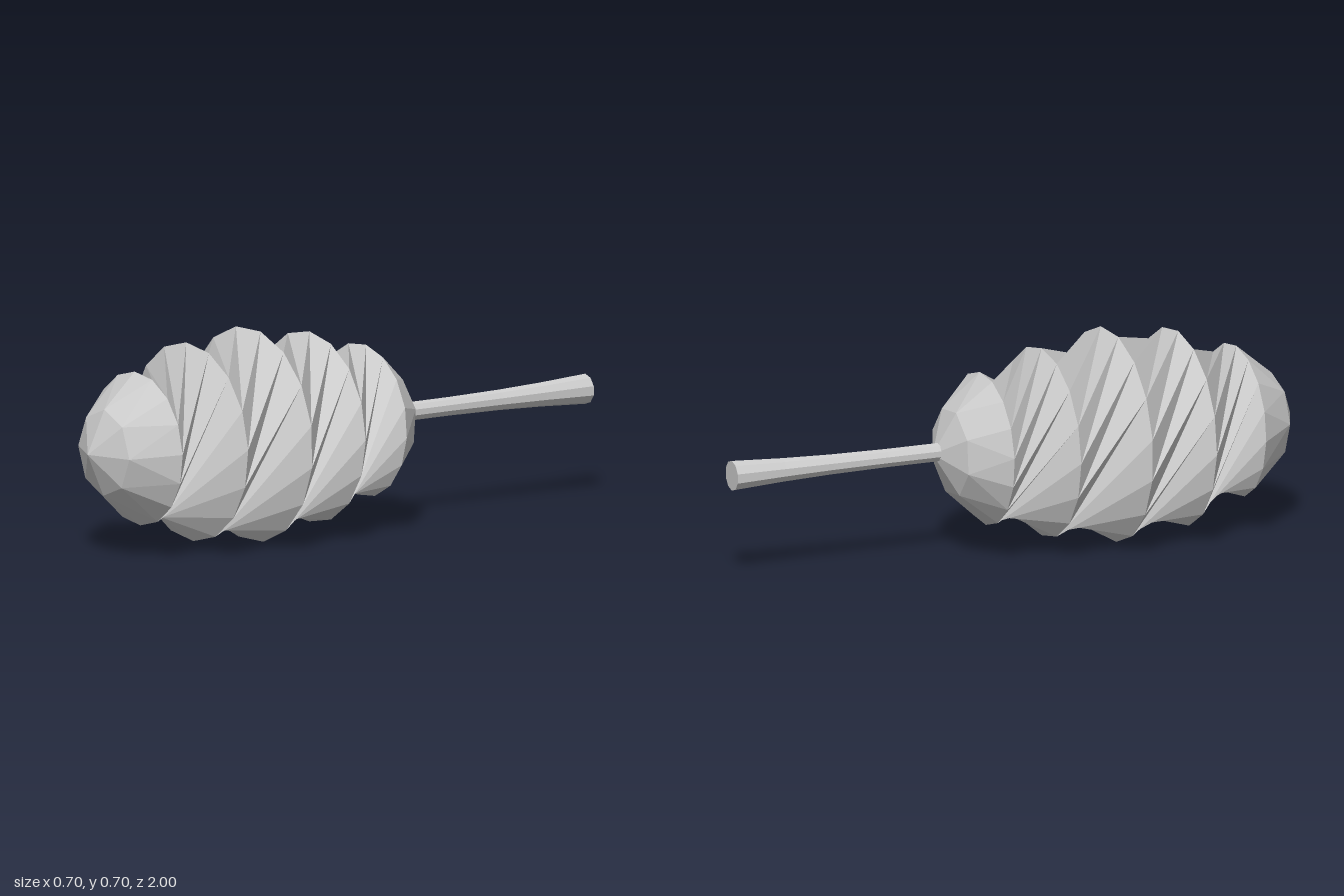
import * as THREE from 'three';

const SIDES = 16;
const CENTER_Y = 0.352;

// Ring of points around the z axis
function ring(n, radius, z, phase) {
  return Array.from({ length: n }, (_, i) => {
    const a = phase + (i / n) * Math.PI * 2;
    return [Math.cos(a) * radius, Math.sin(a) * radius, z];
  });
}

// Faceted dome: 16-sided rim, 8-sided inner ring, tip; back = true flips the faces
function addCap(out, rim, inner, tip, back) {
  const tri = (a, b, c) => out.push(...a, ...(back ? c : b), ...(back ? b : c));
  const n = inner.length;
  for (let j = 0; j < n; j++) {
    const p = inner[j], q = inner[(j + 1) % n];
    const before = rim[(2 * j + SIDES - 1) % SIDES];
    const mid = rim[2 * j];
    const after = rim[2 * j + 1];
    tri(tip, p, q);
    tri(p, before, mid);
    tri(p, mid, after);
    tri(p, after, q);
  }
}

// Twisted band between two rings, leaving ridges and deep valleys
function addBand(out, a, b) {
  for (let i = 0; i < SIDES; i++) {
    const k = (i + 1) % SIDES;
    out.push(...a[i], ...b[i], ...b[k]);
    out.push(...a[i], ...b[k], ...a[k]);
  }
}

export function createModel() {
  const group = new THREE.Group();
  const material = new THREE.MeshStandardMaterial({
    color: 0xcccccc, flatShading: true, side: THREE.DoubleSide,
  });

  // Dipper head: [z, radius, twist in degrees from the previous ring]
  const levels = [
    [0.8, 0.253, 3.5], [0.59, 0.327, 67.5], [0.35, 0.354, 54],
    [0.11, 0.315, 55], [-0.1, 0.253, 62],
  ];
  let phase = 0;
  const rings = levels.map(([z, r, twist]) => {
    phase += THREE.MathUtils.degToRad(twist);
    return ring(SIDES, r, z, phase);
  });
  const firstPhase = THREE.MathUtils.degToRad(levels[0][2]);
  const positions = [];
  addCap(positions, rings[0], ring(8, 0.143, 0.935, firstPhase - 0.08), [0, 0, 1], false);
  for (let i = 0; i < rings.length - 1; i++) addBand(positions, rings[i], rings[i + 1]);
  addCap(positions, rings[rings.length - 1], ring(8, 0.148, -0.215, phase), [0, 0, -0.28], true);

  const headGeometry = new THREE.BufferGeometry();
  headGeometry.setAttribute('position', new THREE.Float32BufferAttribute(positions, 3));
  headGeometry.computeVertexNormals();
  const head = new THREE.Mesh(headGeometry, material);
  head.name = 'dipperHead';
  head.position.y = CENTER_Y;
  group.add(head);

  // Handle: slim rod flaring towards its closed end
  const profile = [
    [0, 0.24], [0.031, 0.24], [0.031, 0.45], [0.034, 0.65], [0.04, 0.82], [0.05, 1], [0, 1],
  ].map(([r, y]) => new THREE.Vector2(r, y));
  const handle = new THREE.Mesh(new THREE.LatheGeometry(profile, 10), material);
  handle.name = 'handle';
  handle.rotation.x = -Math.PI / 2;
  handle.position.set(-0.004, CENTER_Y + 0.006, 0);
  group.add(handle);

  return group;
}
